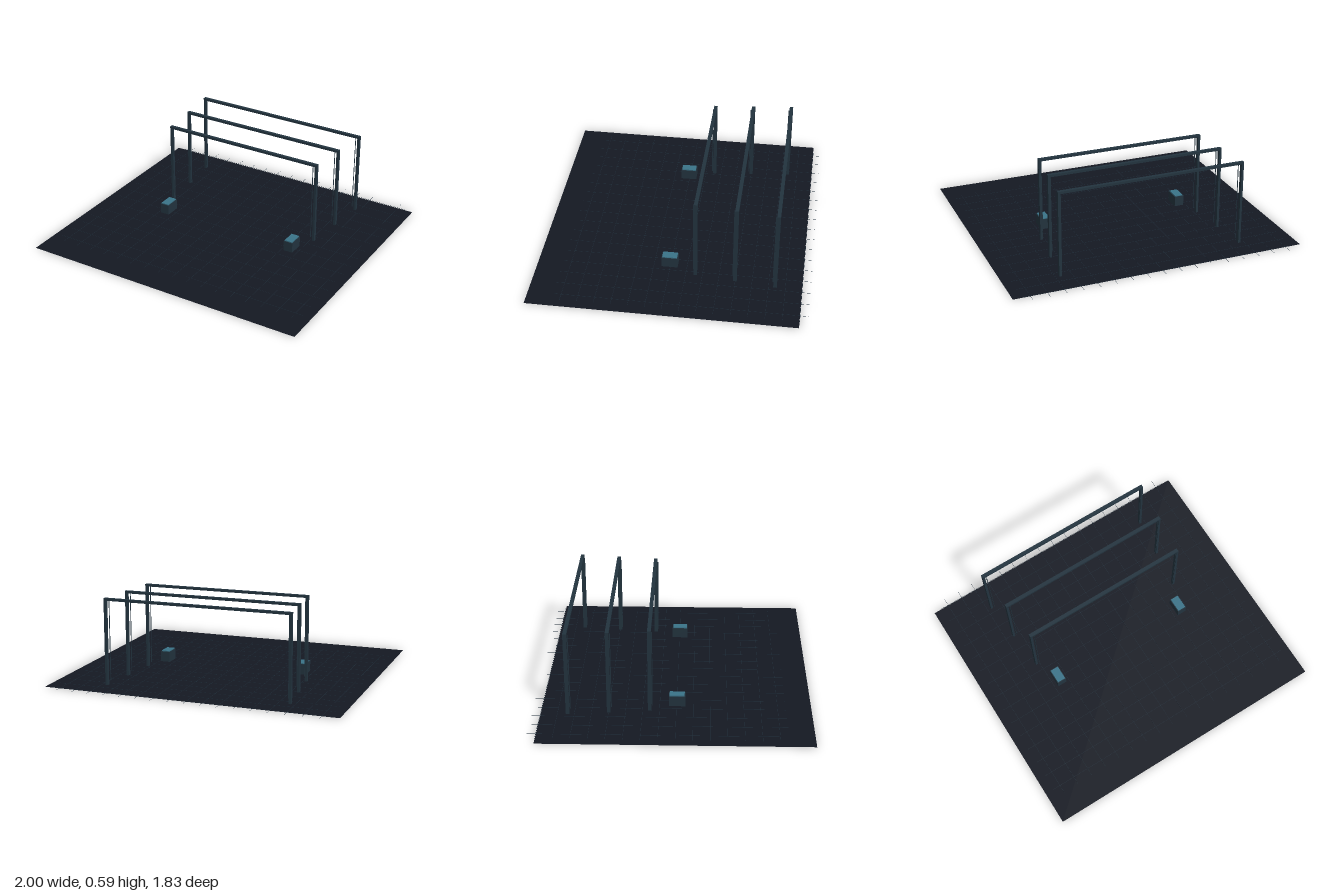
import * as THREE from 'three';

const mat = (color, extra = {}) => Object.assign(new THREE.MeshStandardMaterial({ color }), extra);
const floorMat = mat(0x141822, { side: THREE.DoubleSide });
const lineMat = mat(0x1c2c38);
const frameMat = mat(0x22333e);
const capMat = mat(0x3a7388);

function box(parent, name, size, pos, material) {
  const mesh = new THREE.Mesh(new THREE.BoxGeometry(...size), material);
  mesh.name = name;
  mesh.position.set(...pos);
  parent.add(mesh);
  return mesh;
}

// Goal-shaped frame: two posts, a top beam and a slim strip inside each post
function createFrame(halfWidth, z) {
  const frame = new THREE.Group();
  frame.name = 'archFrame';
  frame.position.z = z;
  const t = 0.016, depth = 0.024, top = 0.587;
  box(frame, 'topBeam', [halfWidth * 2, t, depth], [0, top - t / 2, 0], frameMat);
  for (const side of [-1, 1]) {
    box(frame, 'post', [t, top - t - 0.003, depth], [side * (halfWidth - t / 2), (top - t + 0.003) / 2, 0], frameMat);
    box(frame, 'postStrip', [0.003, 0.54, 0.006], [side * (halfWidth - 0.026), 0.3, 0.016], frameMat);
  }
  return frame;
}

// Small pedestal with a lighter cap
function createPedestal(x) {
  const pedestal = new THREE.Group();
  pedestal.name = 'pedestal';
  pedestal.position.set(x, 0, 0.028);
  box(pedestal, 'pedestalBody', [0.066, 0.072, 0.108], [0, 0.046, 0], frameMat);
  box(pedestal, 'pedestalCap', [0.057, 0.006, 0.099], [0, 0.085, 0], capMat);
  return pedestal;
}

export function createModel() {
  const model = new THREE.Group();
  model.name = 'arena';

  // Floor sheet
  const floor = new THREE.Mesh(new THREE.PlaneGeometry(2, 1.775), floorMat);
  floor.name = 'floor';
  floor.rotation.x = -Math.PI / 2;
  floor.position.z = 0.025;
  model.add(floor);

  // Fine floor grid, reaching slightly past the back edge
  const grid = new THREE.Group();
  grid.name = 'floorGrid';
  const step = 0.111, gridZ = -0.087;
  for (let i = -8; i <= 8; i++)
    box(grid, 'gridLineLengthwise', [0.0016, 0.001, step * 15], [i * step, 0.003, gridZ], lineMat);
  for (let i = -7; i <= 7; i++)
    box(grid, 'gridLineCrosswise', [step * 17, 0.001, 0.0016], [0, 0.003, gridZ + i * step], lineMat);
  model.add(grid);

  // Three frames, each a little wider towards the back
  for (let i = 0; i < 3; i++) model.add(createFrame(0.584 + i * 0.028, -0.151 - i * 0.267));

  for (const side of [-1, 1]) model.add(createPedestal(side * 0.5));
  return model;
}
